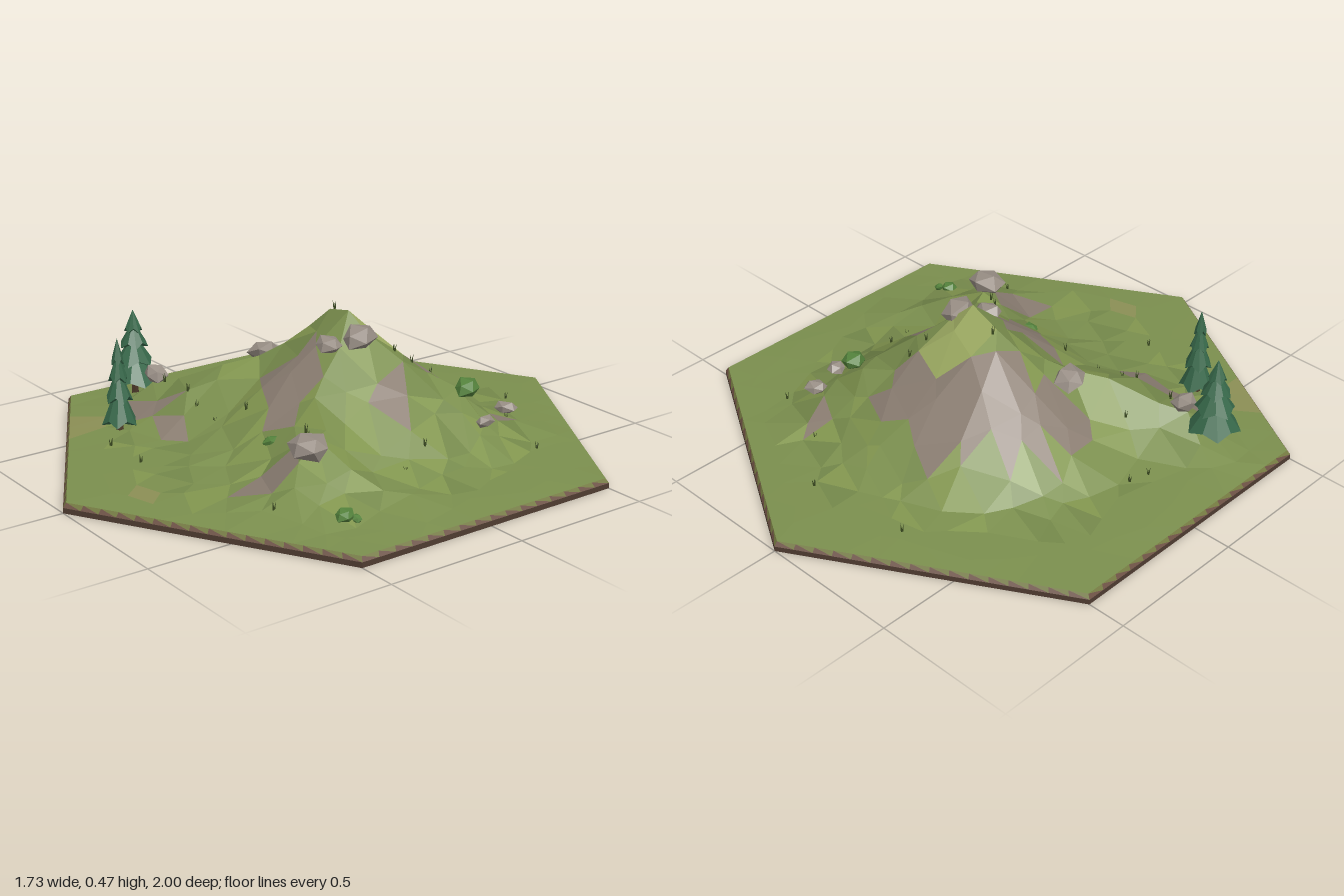
import * as THREE from 'three';

const mat = (color) => new THREE.MeshStandardMaterial({ color, flatShading: true });
const colors = {
  grass: 0x7b8f4e, grassLight: 0x82964f, grassDark: 0x74884a, dryGrass: 0x8b8f55,
  cliff: 0x8a7d71, summit: 0x9dab62, rimEarth: 0x6b4f42, rimMoss: 0x73793f,
};
const stone = mat(0x968c83), pine = mat(0x37684a), bark = mat(0x4a3828);
const leaf = mat(0x54823c), blade = mat(0x39481f);

// Ridge lines as [x, z, height], with the slope of their flanks
const ridges = [
  { slope: 0.9, pts: [[-0.07, -0.11, 0.46], [0.04, -0.08, 0.47]] },
  { slope: 0.8, pts: [[-0.08, -0.08, 0.44], [-0.22, 0.06, 0.28], [-0.37, 0.25, 0.225], [-0.53, 0.32, 0.155], [-0.66, 0.3, 0.08], [-0.8, 0.28, 0.04]] },
  { slope: 0.8, pts: [[0.04, -0.08, 0.46], [0.15, -0.1, 0.37], [0.27, -0.27, 0.265], [0.38, -0.48, 0.12], [0.44, -0.62, 0.03]] },
  { slope: 0.8, pts: [[0.04, -0.08, 0.46], [0.12, 0.03, 0.365], [0.26, 0.2, 0.25], [0.42, 0.35, 0.185], [0.56, 0.53, 0.045]] },
  { slope: 0.65, pts: [[0.42, 0.34, 0.185], [0.6, 0.16, 0.09], [0.72, 0.28, 0.035]] },
];

function height(x, z) {
  let h = -1;
  for (const { slope, pts } of ridges) {
    for (let i = 0; i + 1 < pts.length; i++) {
      const [ax, az, ah] = pts[i], [bx, bz, bh] = pts[i + 1];
      const dx = bx - ax, dz = bz - az;
      const t = THREE.MathUtils.clamp(((x - ax) * dx + (z - az) * dz) / (dx * dx + dz * dz), 0, 1);
      h = Math.max(h, ah + (bh - ah) * t - slope * Math.hypot(x - ax - dx * t, z - az - dz * t));
    }
  }
  // Soft foot where the hill meets the gently rising plain
  const plain = 0.033 + 0.03 * Math.max(0, 1 - Math.hypot(x, z));
  return plain + 0.022 * Math.log(1 + Math.exp((h - plain) / 0.022));
}

// Bare earth patches as [x, z, radius]
const cliffs = [[-0.12, -0.31, 0.14], [0.08, -0.35, 0.1], [-0.27, -0.2, 0.13], [-0.36, -0.06, 0.11], [-0.03, 0.11, 0.1],
  [0.07, 0.21, 0.1], [0.28, -0.07, 0.09], [-0.46, 0.41, 0.075], [-0.28, 0.42, 0.07], [0.34, 0.45, 0.07], [0.36, -0.53, 0.07]];

function colorOf(x, z) {
  if (Math.hypot(x - 0.02, z + 0.17) < 0.095) return 'summit';
  if (cliffs.some(([cx, cz, r]) => Math.hypot(x - cx, z - cz) < r)) return 'cliff';
  if (Math.hypot(x - 0.11, z - 0.77) < 0.06 || Math.hypot(x + 0.55, z - 0.62) < 0.06) return 'dryGrass';
  if (Math.hypot(x, z) > 0.72) return 'grass';
  const s = Math.sin(x * 31 + z * 57) + Math.sin(x * 83 - z * 29);
  return s > 0.9 ? 'grassLight' : s < -0.9 ? 'grassDark' : 'grass';
}

const corner = (k, r = 1) => [r * Math.sin(k * Math.PI / 3), r * Math.cos(k * Math.PI / 3)];

// Faceted ground: six triangular sectors, bent so the centre is the summit
function addGround(group) {
  const N = 9, soup = {};
  const put = (name, ...verts) => (soup[name] ??= []).push(...verts.flat());
  const centre = (a, b, c, k) => (a[k] + b[k] + c[k]) / 3;
  for (let s = 0; s < 6; s++) {
    const A = corner(s, 0.988), B = corner(s + 1, 0.988);
    const point = (i, j) => {
      const ring = (i + j) / N, inner = 1 - ring;
      let x = (A[0] * i + B[0] * j) / N, z = (A[1] * i + B[1] * j) / N;
      const wob = i + j === 0 || i + j === N ? 0 : 0.03;
      const wx = wob * Math.sin(x * 71 + z * 43 + 1), wz = wob * Math.sin(z * 67 - x * 39 + 2);
      x += wx + 0.04 * inner;
      z += wz - 0.08 * inner;
      return [x, ring === 1 ? 0.033 : height(x, z), z];
    };
    const face = (a, b, c) => put(colorOf(centre(a, b, c, 0), centre(a, b, c, 2)), a, b, c);
    for (let i = 0; i < N; i++) {
      for (let j = 0; i + j < N; j++) {
        face(point(i, j), point(i + 1, j), point(i, j + 1));
        if (i + j + 2 <= N) face(point(i + 1, j), point(i + 1, j + 1), point(i, j + 1));
      }
    }
    // Bevelled rim with alternating earth and moss
    const M = 16;
    const edge = (t, r, y) => {
      const P = corner(s, r), Q = corner(s + 1, r);
      return [P[0] + (Q[0] - P[0]) * t, y, P[1] + (Q[1] - P[1]) * t];
    };
    for (let i = 0; i < M; i++) {
      const a = edge(i / M, 1, 0.018), b = edge((i + 1) / M, 1, 0.018);
      const c = edge((i + 1) / M, 0.988, 0.033), d = edge(i / M, 0.988, 0.033);
      put('rimEarth', a, b, d);
      put('rimMoss', b, c, d);
    }
  }
  for (const [name, verts] of Object.entries(soup)) {
    const g = new THREE.BufferGeometry();
    g.setAttribute('position', new THREE.Float32BufferAttribute(verts, 3));
    g.computeVertexNormals();
    const mesh = new THREE.Mesh(g, mat(colors[name]));
    mesh.name = name;
    group.add(mesh);
  }
  const slab = new THREE.Mesh(new THREE.CylinderGeometry(1, 1, 0.018, 6), [mat(0x4f3c31), mat(0x4f3c31), mat(0x4b4034)]);
  slab.position.y = 0.009;
  slab.name = 'baseSlab';
  group.add(slab);
}

// Irregular lump used for boulders and bushes
function lump(name, material, x, y, z, sx, sy, sz, turn) {
  const g = new THREE.IcosahedronGeometry(1, 0), p = g.attributes.position;
  for (let i = 0; i < p.count; i++) {
    const v = new THREE.Vector3().fromBufferAttribute(p, i);
    v.multiplyScalar(1 + 0.16 * Math.sin(v.x * 5 + v.y * 9 + v.z * 13 + turn * 7));
    p.setXYZ(i, v.x, v.y, v.z);
  }
  g.computeVertexNormals();
  const mesh = new THREE.Mesh(g, material);
  mesh.scale.set(sx, sy, sz);
  mesh.position.set(x, y, z);
  mesh.rotation.y = turn;
  mesh.name = name;
  return mesh;
}

// Pine with overlapping tiers whose alternate hem points droop
function makeTree(x, z, base, skirt, top, radius, turn) {
  const tree = new THREE.Group();
  tree.name = 'pineTree';
  const trunk = new THREE.Mesh(new THREE.CylinderGeometry(0.011, 0.016, skirt - base + 0.05, 6), bark);
  trunk.position.y = (skirt + base) / 2;
  trunk.name = 'trunk';
  tree.add(trunk);
  const span = top - skirt;
  [[0, 0.5, 1], [0.27, 0.68, 0.77], [0.5, 0.85, 0.56], [0.7, 1, 0.36]].forEach(([lo, hi, r], i) => {
    const g = new THREE.ConeGeometry(radius * r, (hi - lo) * span, 10), p = g.attributes.position;
    for (let k = 0; k < p.count; k++) {
      const px = p.getX(k), pz = p.getZ(k);
      if (Math.hypot(px, pz) < 1e-6) continue;
      const inward = Math.round(Math.atan2(px, pz) / (Math.PI / 5)) % 2 !== 0;
      if (inward) p.setXYZ(k, px * 0.86, p.getY(k) + 0.07 * span, pz * 0.86);
    }
    const tier = new THREE.Mesh(g, pine);
    tier.position.y = skirt + span * (lo + hi) / 2;
    tier.rotation.y = turn + i * 0.5;
    tier.name = 'foliageTier';
    tree.add(tier);
  });
  tree.position.set(x, 0, z);
  return tree;
}

export function createModel() {
  const model = new THREE.Group();
  model.name = 'hillTile';
  addGround(model);

  model.add(makeTree(-0.66, 0.34, 0.05, 0.11, 0.378, 0.092, 0.2));
  model.add(makeTree(-0.43, 0.54, 0.04, 0.065, 0.37, 0.062, 0.9));

  // Boulders: x, y, z, half sizes, turn
  [[0.125, 0.4, -0.06, 0.055, 0.042, 0.078, 0.4], [0.075, 0.38, 0.03, 0.055, 0.03, 0.042, 0.3],
    [-0.28, 0.27, 0.045, 0.052, 0.036, 0.06, 0.7], [0.415, 0.205, 0.36, 0.078, 0.042, 0.066, 0.1],
    [-0.55, 0.165, 0.32, 0.045, 0.036, 0.042, 1.2], [0.41, 0.15, -0.46, 0.04, 0.022, 0.032, 0.5],
    [0.455, 0.143, -0.33, 0.034, 0.022, 0.028, 1.5],
  ].forEach((b) => model.add(lump('boulder', stone, ...b)));

  // Bushes
  [[0.35, 0.23, -0.34, 0.045, 0.033, 0.05, 0.3], [0.16, 0.13, 0.32, 0.03, 0.024, 0.032, 0.8],
    [0.645, 0.062, 0.395, 0.034, 0.022, 0.034, 0.2], [0.678, 0.058, 0.375, 0.018, 0.014, 0.018, 1.1],
  ].forEach((b) => model.add(lump('bush', leaf, ...b)));

  // Grass tufts of three blades
  const bladeGeo = new THREE.ConeGeometry(0.004, 0.032, 4);
  [[-0.25, -0.69], [0.12, -0.73], [0.55, -0.48], [0.46, -0.07], [0.51, 0.05], [-0.6, -0.01], [-0.62, 0.06], [-0.44, 0.15],
    [-0.49, 0.32], [-0.34, 0.32], [-0.27, 0.33], [-0.16, 0.33], [-0.06, 0.27], [-0.09, -0.12], [0.15, -0.19], [0.17, -0.25],
    [0.29, 0.28], [0.33, 0.3], [0.48, 0.54], [-0.32, 0.64], [-0.13, 0.64], [0.3, -0.57],
  ].forEach(([x, z], n) => {
    const tuft = new THREE.Group();
    tuft.name = 'grassTuft';
    for (let i = 0; i < 3; i++) {
      const a = n + i * 2.1;
      const b = new THREE.Mesh(bladeGeo, blade);
      b.position.set(0.004 * Math.cos(a), 0.011, 0.004 * Math.sin(a));
      b.rotation.set(0.2 * Math.sin(a), 0, -0.2 * Math.cos(a));
      b.name = 'blade';
      tuft.add(b);
    }
    tuft.position.set(x, height(x, z), z);
    model.add(tuft);
  });
  return model;
}
